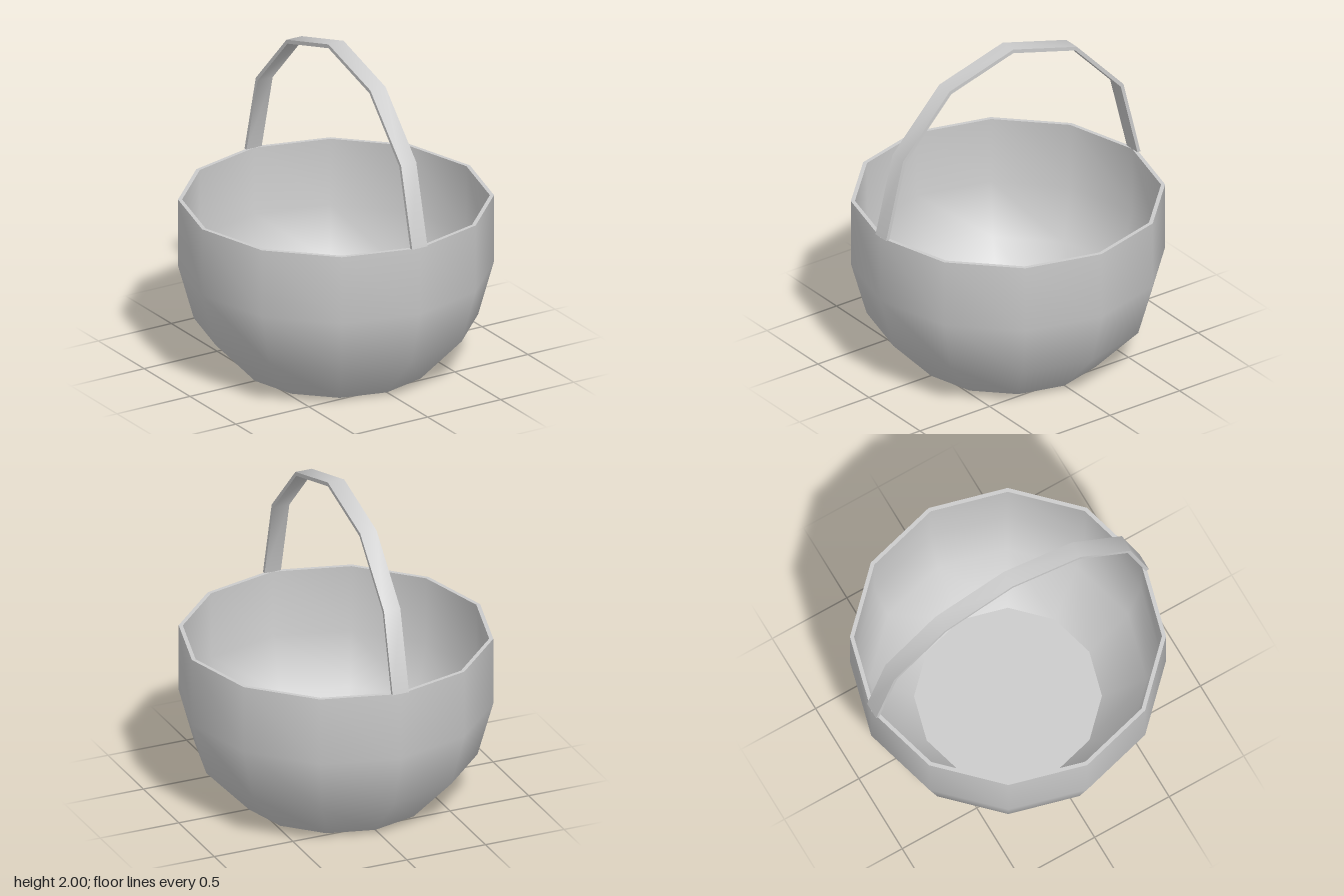
import * as THREE from 'three';
import { toCreasedNormals } from 'three/addons/utils/BufferGeometryUtils.js';

const SIDES = 12;
const RIM_Y = 1.03;

export function createModel() {
  const group = new THREE.Group();
  group.name = 'basket';
  const material = new THREE.MeshStandardMaterial({ color: 0xcccccc });

  const add = (name, geometry) => {
    const mesh = new THREE.Mesh(toCreasedNormals(geometry, 0.7), material);
    mesh.name = name;
    group.add(mesh);
  };

  // Bowl: outer wall upwards, over the rim, inner wall down to the floor
  const profile = [
    [0, 0], [0.555, 0], [0.825, 0.285], [0.917, 0.615], [0.917, RIM_Y],
    [0.893, RIM_Y], [0.893, 0.617], [0.804, 0.298], [0.545, 0.02], [0, 0.02],
  ].map(([r, y]) => new THREE.Vector2(r, y));
  add('bowl', new THREE.LatheGeometry(profile, SIDES));

  // Handle: half of a regular twelve-sided ring, spanning front to back
  const arc = (radius, rise) => Array.from({ length: SIDES / 2 + 1 }, (_, i) => {
    const a = (i / SIDES) * Math.PI * 2;
    return new THREE.Vector2(Math.cos(a) * radius, RIM_Y + Math.sin(a) * rise);
  });
  const outline = [...arc(0.915, 0.97), ...arc(0.893, 0.946).reverse()];
  const width = 0.104;
  const handle = new THREE.ExtrudeGeometry(new THREE.Shape(outline), { depth: width, bevelEnabled: false });
  handle.translate(0, 0, -width / 2);
  handle.rotateY(-Math.PI / 2);
  add('handle', handle);

  return group;
}
